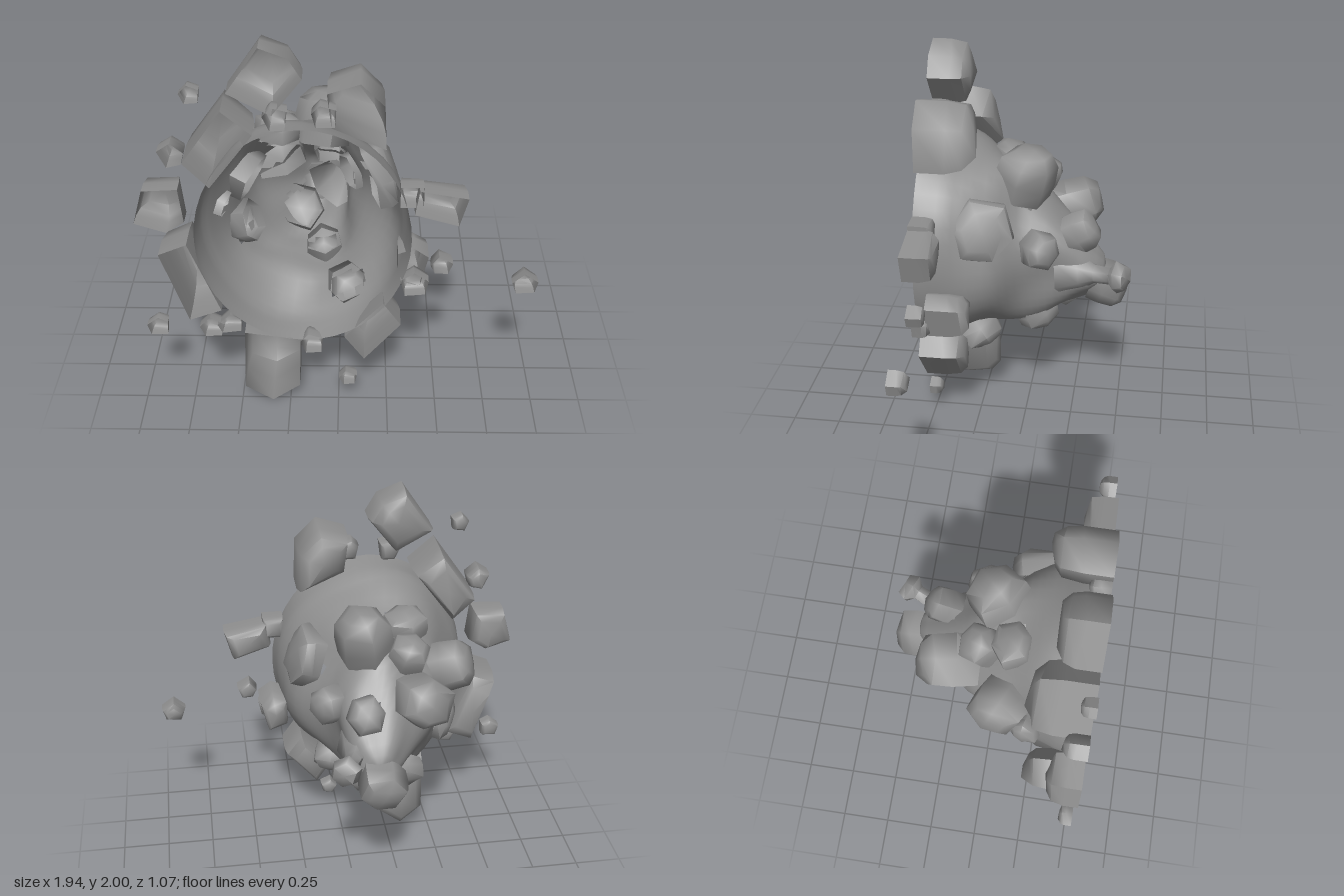
import * as THREE from 'three';
import { toCreasedNormals } from 'three/addons/utils/BufferGeometryUtils.js';

const V = (x, y, z) => new THREE.Vector3(x, y, z);

// Crater bowl sections: z, centre x, centre y, radius x, radius y
const BOWL = [
  [0.52, -0.17, 1.0, 0.52, 0.6],
  [0.38, -0.17, 1.0, 0.5, 0.575],
  [0.25, -0.16, 1.0, 0.45, 0.51],
  [0.14, -0.15, 0.99, 0.39, 0.45],
  [0.03, -0.18, 0.96, 0.31, 0.41],
  [-0.1, -0.17, 0.93, 0.25, 0.34],
  [-0.22, -0.13, 0.9, 0.19, 0.24],
  [-0.34, -0.1, 0.87, 0.13, 0.14],
  [-0.4, -0.1, 0.86, 0.07, 0.08],
];

// Outcrops: inner point, end, radius
const OUTCROPS = [
  [[0.05, 1.15, 0.22], [0.27, 1.21, 0.18], 0.16],
  [[-0.1, 1.18, 0.06], [-0.05, 1.53, -0.04], 0.15],
  [[-0.3, 1.2, 0.15], [-0.3, 1.46, 0.09], 0.11],
  [[-0.4, 1.1, 0.12], [-0.65, 1.2, 0.02], 0.14],
  [[-0.3, 1.08, -0.05], [-0.37, 1.16, -0.36], 0.14],
  [[-0.27, 1.2, 0], [-0.31, 1.38, -0.1], 0.1],
  [[0, 1.05, -0.02], [0.18, 1.08, -0.13], 0.1],
  [[-0.12, 0.84, -0.2], [-0.1, 0.74, -0.52], 0.12],
  [[-0.05, 1.02, -0.12], [-0.05, 1.14, -0.36], 0.1],
  [[-0.2, 0.85, -0.08], [-0.22, 0.67, -0.29], 0.13],
  [[-0.1, 0.75, 0], [-0.08, 0.51, -0.08], 0.1],
  [[0.02, 0.62, 0.3], [0.08, 0.47, 0.18], 0.11],
  [[-0.4, 0.86, 0.12], [-0.57, 0.8, 0.06], 0.12],
  [[-0.5, 1, 0.25], [-0.66, 1.05, 0.2], 0.07],
];

function bowlAt(z) {
  let i = 0;
  while (i < BOWL.length - 2 && z < BOWL[i + 1][0]) i++;
  const t = (z - BOWL[i][0]) / (BOWL[i + 1][0] - BOWL[i][0]);
  return BOWL[i].map((a, k) => THREE.MathUtils.lerp(a, BOWL[i + 1][k], t));
}

function insideBowl(p) {
  const [, cx, cy, rx, ry] = bowlAt(p.z);
  return p.z > -0.4 && ((p.x - cx) / rx) ** 2 + ((p.y - cy) / ry) ** 2 < 1;
}

export function createModel() {
  const group = new THREE.Group();
  const material = new THREE.MeshStandardMaterial({ color: 0x8e8e8e, side: THREE.DoubleSide });

  let seed = 11;
  const rand = () => {
    seed = (seed * 16807) % 2147483647;
    return seed / 2147483647;
  };

  // Skin over a stack of rings, open at the first ring and capped at the last;
  // quads for which skip(centre) holds are left out
  function loft(name, rings, crease, capOffset, skip = () => false) {
    const n = rings[0].length;
    const index = [];
    const points = rings.flat();
    for (let i = 0; i < rings.length - 1; i++) {
      for (let j = 0; j < n; j++) {
        const a = i * n + j;
        const b = i * n + ((j + 1) % n);
        if (skip(points[a].clone().add(points[b + n]).multiplyScalar(0.5))) continue;
        index.push(a, a + n, b, b, a + n, b + n);
      }
    }
    const last = rings[rings.length - 1];
    const tip = capOffset.clone();
    last.forEach((p) => tip.addScaledVector(p, 1 / n));
    const start = points.length - n;
    for (let j = 0; j < n; j++) index.push(start + j, start + n, start + ((j + 1) % n));
    const geometry = new THREE.BufferGeometry().setFromPoints([...points, tip]);
    geometry.setIndex(index);
    const mesh = new THREE.Mesh(toCreasedNormals(geometry, crease), material);
    mesh.name = name;
    group.add(mesh);
  }

  // Outcrops start just inside the bowl wall
  const lumps = OUTCROPS.map(([inner, end, radius]) => {
    const from = V(...inner);
    const to = V(...end);
    const step = to.clone().sub(from).multiplyScalar(0.02);
    const wall = from.clone();
    for (let i = 0; i < 40 && insideBowl(wall); i++) wall.add(step);
    const d = step.normalize();
    const base = wall.addScaledVector(d, -0.5 * radius);
    return { base, to, radius, axis: new THREE.Line3(base.clone().addScaledVector(d, -0.3 * radius), to) };
  });

  // Bowl, with its wall opened into each outcrop
  const sides = 44;
  const near = V(0, 0, 0);
  const opened = (p) => lumps.some(({ axis, radius }) =>
    axis.closestPointToPoint(p, true, near).distanceTo(p) < 0.72 * radius);
  const bowlRings = Array.from({ length: 26 }, (_, i) => {
    const z = 0.52 - (i / 25) * 0.92;
    const [, cx, cy, rx, ry] = bowlAt(z);
    const lump = Math.min(i / 14, 1);
    return Array.from({ length: sides }, (_, j) => {
      const a = (j / sides) * Math.PI * 2;
      const k = 1 + lump * (0.05 * Math.sin(3 * a + 0.3 * i) + 0.05 * Math.sin(5 * a - 0.4 * i));
      return V(cx + Math.cos(a) * rx * k, cy + Math.sin(a) * ry * k, z);
    });
  });
  loft('craterBowl', bowlRings, 1.1, V(0, 0, -0.02), opened);

  // Rim boulder: outline listed clockwise from the front, hollow at the front
  function rimRock(name, outline, back, front = 0.52) {
    const pts = outline.slice().reverse();
    const cx = pts.reduce((s, p) => s + p[0], 0) / pts.length;
    const cy = pts.reduce((s, p) => s + p[1], 0) / pts.length;
    const depth = front - back;
    const rings = [[0, 1], [0.5, 1], [0.82, 0.9], [0.97, 0.6]].map(([t, s], i) =>
      pts.map(([x, y]) => V(
        cx + (x - cx) * s, cy + (y - cy) * s,
        front - depth * t + (i ? (rand() - 0.5) * 0.14 * depth : 0))));
    loft(name, rings, 1.15, V(0, 0, -depth * 0.04));
  }

  const rim = [
    [0.31, [[-0.35, 2], [-0.22, 1.95], [-0.16, 1.85], [-0.3, 1.67], [-0.5, 1.78]]],
    [0.23, [[-0.05, 1.78], [0.1, 1.83], [0.21, 1.72], [0.22, 1.5], [-0.03, 1.61]]],
    [0.21, [[-0.53, 1.69], [-0.39, 1.57], [-0.6, 1.29], [-0.72, 1.42]]],
    [0.35, [[-0.92, 1.27], [-0.75, 1.28], [-0.73, 1.1], [-0.82, 1.04], [-0.97, 1.09]]],
    [0.22, [[-0.87, 0.91], [-0.73, 0.97], [-0.58, 0.58], [-0.74, 0.52]]],
    [0.2, [[-0.47, 0.44], [-0.19, 0.4], [-0.2, 0.1], [-0.34, 0], [-0.48, 0.09]]],
    [0.28, [[0.22, 0.63], [0.31, 0.5], [0.13, 0.28], [0.03, 0.42]]],
    [0.36, [[0.38, 1.28], [0.61, 1.24], [0.57, 1.09], [0.36, 1.15]]],
    [0.4, [[0.29, 1.3], [0.4, 1.3], [0.4, 1.19], [0.29, 1.19]]],
    [0.24, [[0.29, 0.88], [0.37, 0.91], [0.44, 0.86], [0.4, 0.69], [0.29, 0.72]], 0.45],
  ];
  rim.forEach(([back, outline, front], i) => rimRock('rimBoulder' + (i + 1), outline, back, front));

  // Loose pebbles around the rim: x, y, radius, back z
  const pebbles = [
    [-0.66, 1.77, 0.05, 0.45], [-0.77, 1.46, 0.065, 0.4], [-0.28, 1.65, 0.065, 0.42],
    [-0.06, 1.66, 0.065, 0.42], [0.5, 0.86, 0.055, 0.43], [0.91, 0.75, 0.065, 0.43],
    [0.05, 0.15, 0.048, 0.45], [-0.13, 0.37, 0.065, 0.43], [-0.9, 0.47, 0.06, 0.45],
    [-0.63, 0.47, 0.065, 0.44], [-0.54, 0.49, 0.065, 0.44], [0.37, 0.74, 0.075, 0.43],
  ];
  pebbles.forEach(([x, y, r, back], i) => {
    const outline = Array.from({ length: 5 }, (_, j) => {
      const a = 0.7 - (j + rand() * 0.4) * Math.PI * 0.4;
      return [x + Math.cos(a) * r, y + Math.sin(a) * r];
    });
    rimRock('pebble' + (i + 1), outline, back);
  });

  // Outcrop: hollow lump growing from the bowl wall towards a blunt end
  const blunt = [[0, 1], [0.4, 1.05], [0.78, 0.98], [0.96, 0.62]];
  function outcrop(name, from, to, radius, profile = blunt) {
    const n = 6;
    const d = to.clone().sub(from).normalize();
    const u = V(0.3, 1, 0.2).cross(d).normalize();
    const v = u.clone().cross(d);
    const phase = rand() * 6;
    const wobble = Array.from({ length: n }, () => 0.88 + rand() * 0.24);
    const rings = profile.map(([t, s]) => wobble.map((w, j) => {
      const a = phase + (j / n) * Math.PI * 2;
      const r = radius * s * w;
      return from.clone().lerp(to, t)
        .addScaledVector(u, Math.cos(a) * r)
        .addScaledVector(v, Math.sin(a) * r)
        .addScaledVector(d, (rand() - 0.5) * 0.2 * radius);
    }));
    loft(name, rings, 1.15, d.multiplyScalar(radius * 0.08));
  }
  lumps.forEach(({ base, to, radius }, i) => outcrop('outcrop' + (i + 1), base, to, radius));

  // Thin spike with a knob on its end
  outcrop('knobbedSpike', V(-0.04, 0.88, -0.2), V(0.1, 0.92, -0.53), 0.08,
    [[0, 1.8], [0.3, 1.05], [0.5, 0.6], [0.76, 0.55], [0.85, 1.05], [0.97, 0.8]]);

  return group;
}
